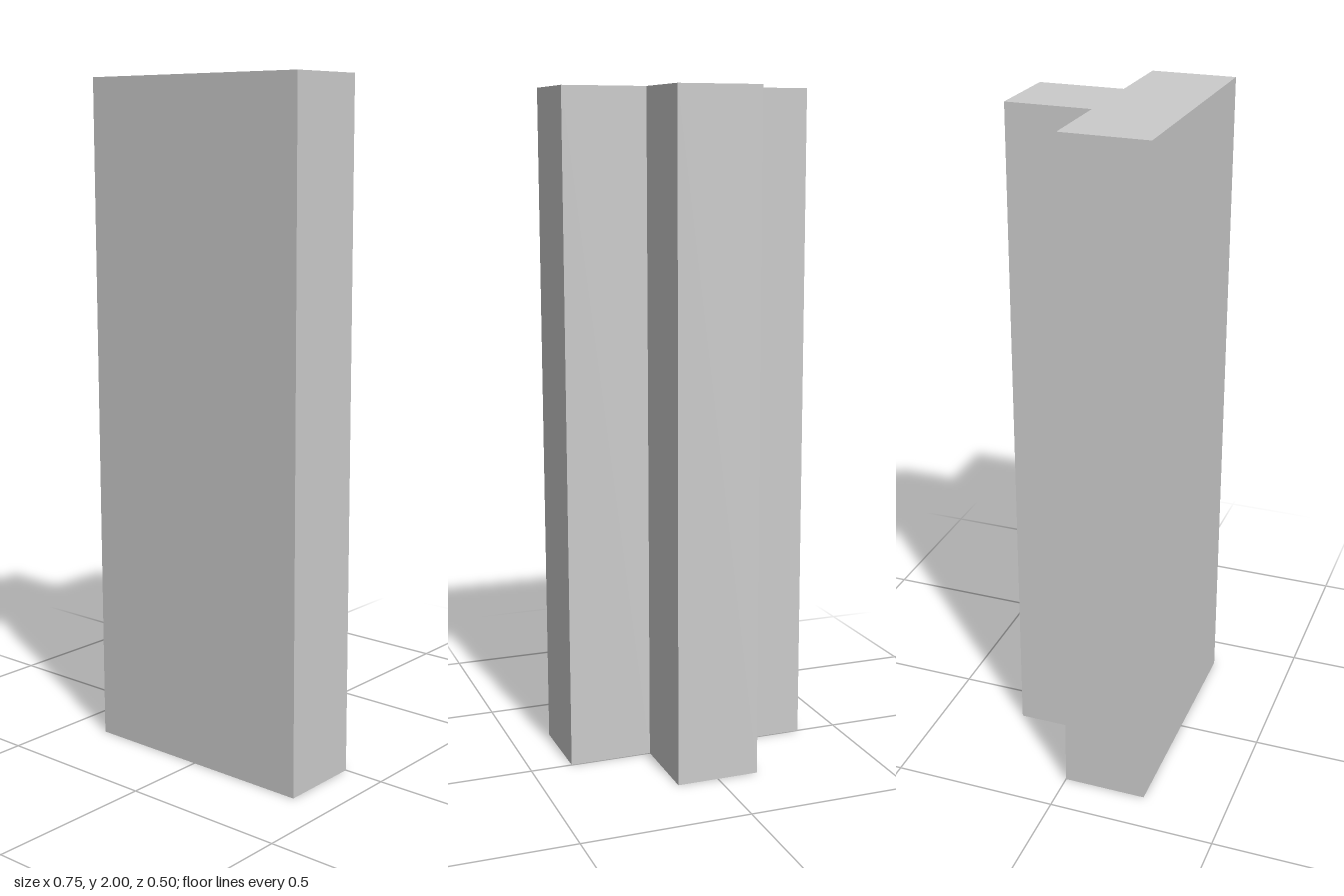
import * as THREE from 'three';

export function createModel() {
  const group = new THREE.Group();
  group.name = 'teeColumn';

  const height = 2, halfBar = 0.375, halfStem = 0.125, halfDepth = 0.25;

  // T-shaped plan: wide bar at the front, stem at the back (shape y becomes -z)
  const plan = new THREE.Shape([
    [-halfBar, -halfDepth], [halfBar, -halfDepth], [halfBar, 0], [halfStem, 0],
    [halfStem, halfDepth], [-halfStem, halfDepth], [-halfStem, 0], [-halfBar, 0],
  ].map(([x, y]) => new THREE.Vector2(x, y)));

  // Extrude the plan and stand it upright
  const geometry = new THREE.ExtrudeGeometry(plan, { depth: height, bevelEnabled: false });
  geometry.rotateX(-Math.PI / 2);

  const column = new THREE.Mesh(geometry, new THREE.MeshStandardMaterial({ color: 0xcccccc }));
  column.name = 'column';
  group.add(column);
  return group;
}
